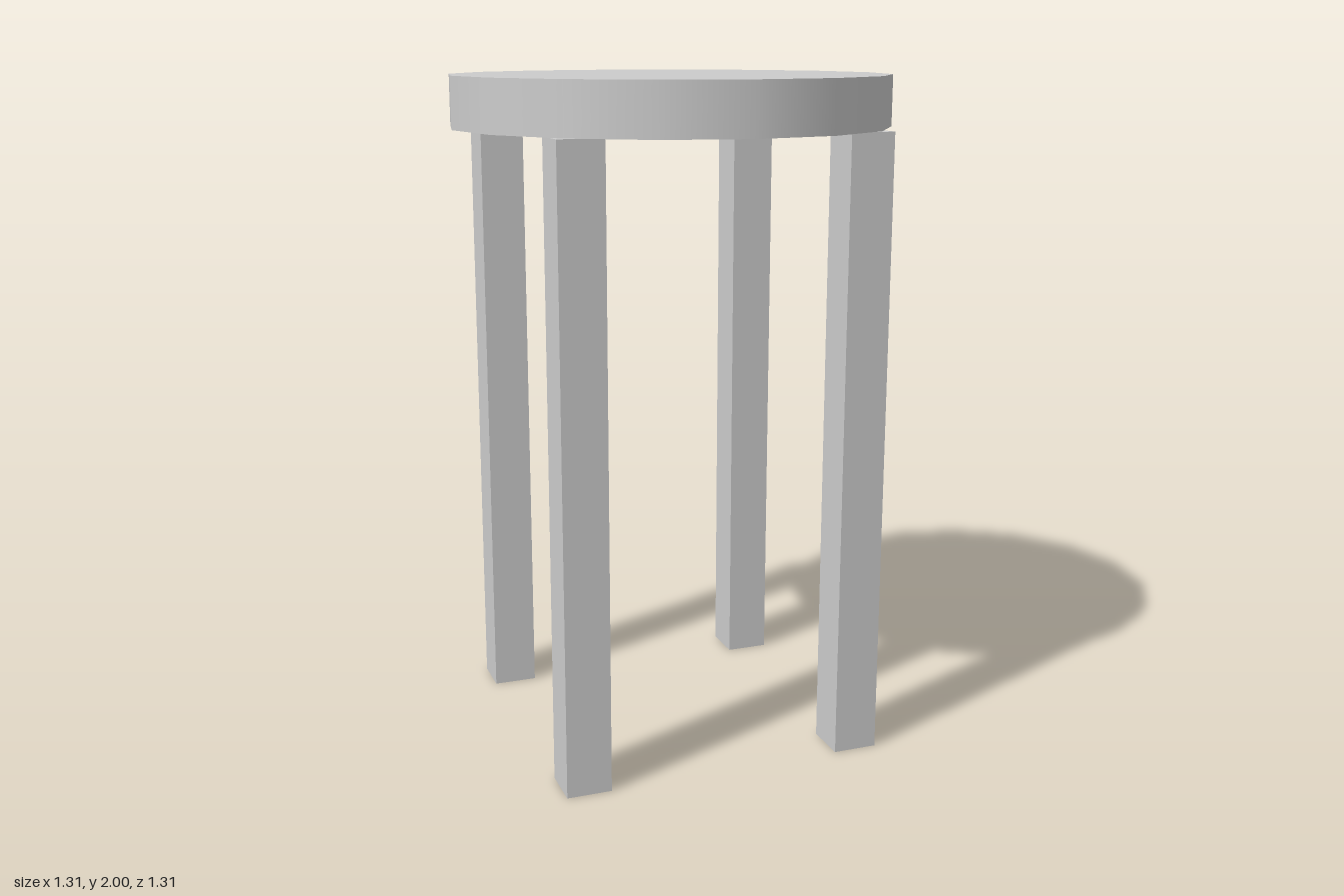
import * as THREE from 'three';

export function createModel() {
  const model = new THREE.Group();
  model.name = 'stool';
  const grey = new THREE.MeshStandardMaterial({ color: 0xcccccc });
  grey.name = 'light grey';

  const height = 2, seatThickness = 0.15, seatRadius = 0.653;
  const legWidth = 0.133, legOffset = 0.4215;
  const legHeight = height - seatThickness;

  // Round seat: sixteen sides with a smooth rim
  const seat = new THREE.Mesh(
    new THREE.CylinderGeometry(seatRadius, seatRadius, seatThickness, 16), grey);
  seat.name = 'seat';
  seat.position.y = height - seatThickness / 2;
  model.add(seat);

  // Four square legs reaching up to the underside of the seat
  const legGeometry = new THREE.BoxGeometry(legWidth, legHeight, legWidth);
  for (const [zName, z] of [['front', 1], ['back', -1]]) {
    for (const [xName, x] of [['Left', 1], ['Right', -1]]) {
      const leg = new THREE.Mesh(legGeometry, grey);
      leg.name = `${zName}${xName}Leg`;
      leg.position.set(x * legOffset, legHeight / 2, z * legOffset);
      model.add(leg);
    }
  }
  return model;
}
